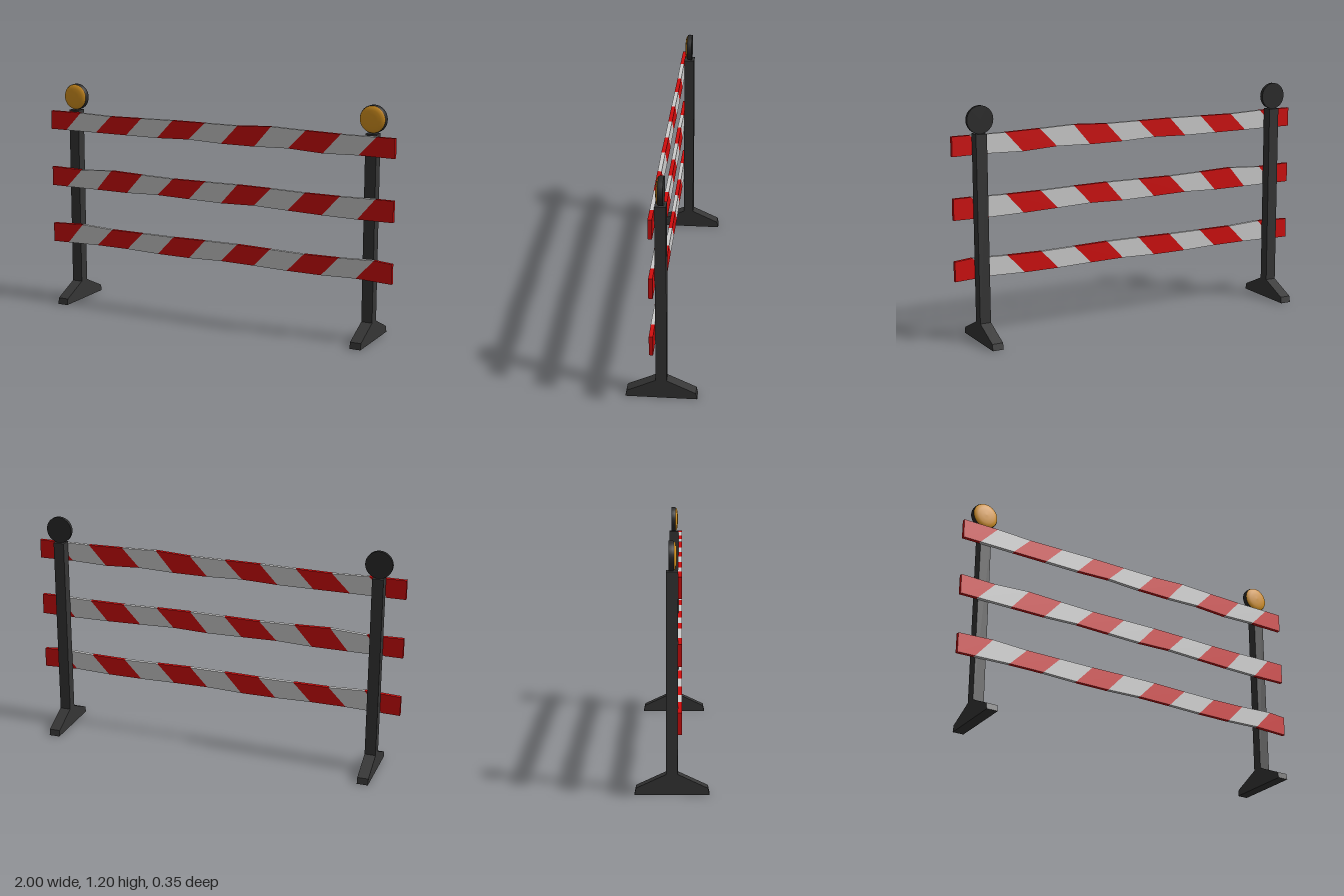
import * as THREE from 'three';

const mat = (name, color, extra = {}) => {
  const m = new THREE.MeshStandardMaterial({ color, ...extra });
  m.name = name;
  return m;
};

export function createModel() {
  const red = mat('red', 0xd00c0c);
  const white = mat('white', 0xcccccc);
  const post = mat('charcoal', 0x353535);
  const black = mat('black', 0x2a2a2a);
  const amber = mat('amber', 0xd89420);

  const group = new THREE.Group();
  group.name = 'barricade';
  const add = (parent, name, geometry, material) => {
    const mesh = new THREE.Mesh(geometry, material);
    mesh.name = name;
    parent.add(mesh);
    return mesh;
  };
  const polygon = (points, depth) => new THREE.ExtrudeGeometry(
    new THREE.Shape(points.map(([x, y]) => new THREE.Vector2(x, y))),
    { depth, bevelEnabled: false });

  // Stripe corners along the top and bottom edges of a plank
  const topX = [-1], bottomX = [-1];
  for (let i = 0; i < 10; i++) {
    topX.push(-0.81 + i * 0.1905);
    bottomX.push(-0.905 + i * 0.1905);
  }
  topX.push(1);
  bottomX.push(1);

  // Planks with slightly uneven edges (offsets in thousandths)
  const planks = [
    { name: 'topPlank', top: 1.05, bottom: 0.95,
      t: [0, 0, -6, -3, 0, 0, 0, 10, 4, 0, 0, 0],
      b: [0, 0, 0, 0, 0, 7, 0, 0, 6, -4, 2, 0] },
    { name: 'middlePlank', top: 0.74, bottom: 0.636,
      t: [0, -4, 8, 2, -2, 0, 2, 0, -4, -4, 0, 0],
      b: [0, 0, 0, 0, 7, 3, 0, 6, 0, -5, -7, -5] },
    { name: 'bottomPlank', top: 0.421, bottom: 0.32,
      t: [0, 9, 0, 0, 0, 3, 4, 0, -3, 0, 8, 0],
      b: [-2, 0, 5, 5, 0, 0, 6, 4, 0, 0, 6, -2] },
  ];
  for (const p of planks) {
    const plank = new THREE.Group();
    plank.name = p.name;
    const top = (i) => [topX[i], p.top + p.t[i] / 1000];
    const bottom = (i) => [bottomX[i], p.bottom + p.b[i] / 1000];
    for (let i = 0; i < 11; i++) {
      const geometry = polygon([bottom(i), bottom(i + 1), top(i + 1), top(i)], 0.02);
      geometry.translate(0, 0, 0.027);
      add(plank, i % 2 ? 'whiteStripe' : 'redStripe', geometry, i % 2 ? white : red);
    }
    group.add(plank);
  }

  // Upright with sloped foot, drawn from the side and extruded across x
  const half = [[0.177, 0], [0.17, 0.033], [0.027, 0.1], [0.027, 1.06]];
  const outline = [...half, ...half.map(([z, y]) => [-z, y]).reverse()];

  // Lamp profiles, turned about the front-back axis
  const v = (r, z) => new THREE.Vector2(r, z);
  const housingProfile = [v(0, -0.015), v(0.07, -0.015)];
  const rimProfile = [v(0.07, -0.015), v(0.07, 0.003), v(0.067, 0.01)];
  const lensProfile = [v(0.067, 0.01), v(0.06, 0.016), v(0.045, 0.02), v(0.024, 0.022), v(0, 0.023)];

  for (const side of [-1, 1]) {
    const stand = new THREE.Group();
    stand.name = side > 0 ? 'leftStand' : 'rightStand';
    stand.position.x = side * 0.866;
    const upright = polygon(outline, 0.058);
    upright.translate(0, 0, -0.029);
    upright.rotateY(-Math.PI / 2);
    add(stand, 'uprightAndFoot', upright, post);

    const lamp = new THREE.Group();
    lamp.name = 'warningLamp';
    lamp.position.y = 1.13;
    lamp.rotation.x = Math.PI / 2;
    add(lamp, 'lampBack', new THREE.LatheGeometry(housingProfile, 32), black);
    add(lamp, 'lampRim', new THREE.LatheGeometry(rimProfile, 32), black);
    add(lamp, 'lampLens', new THREE.LatheGeometry(lensProfile, 32), amber);
    stand.add(lamp);
    group.add(stand);
  }
  return group;
}
